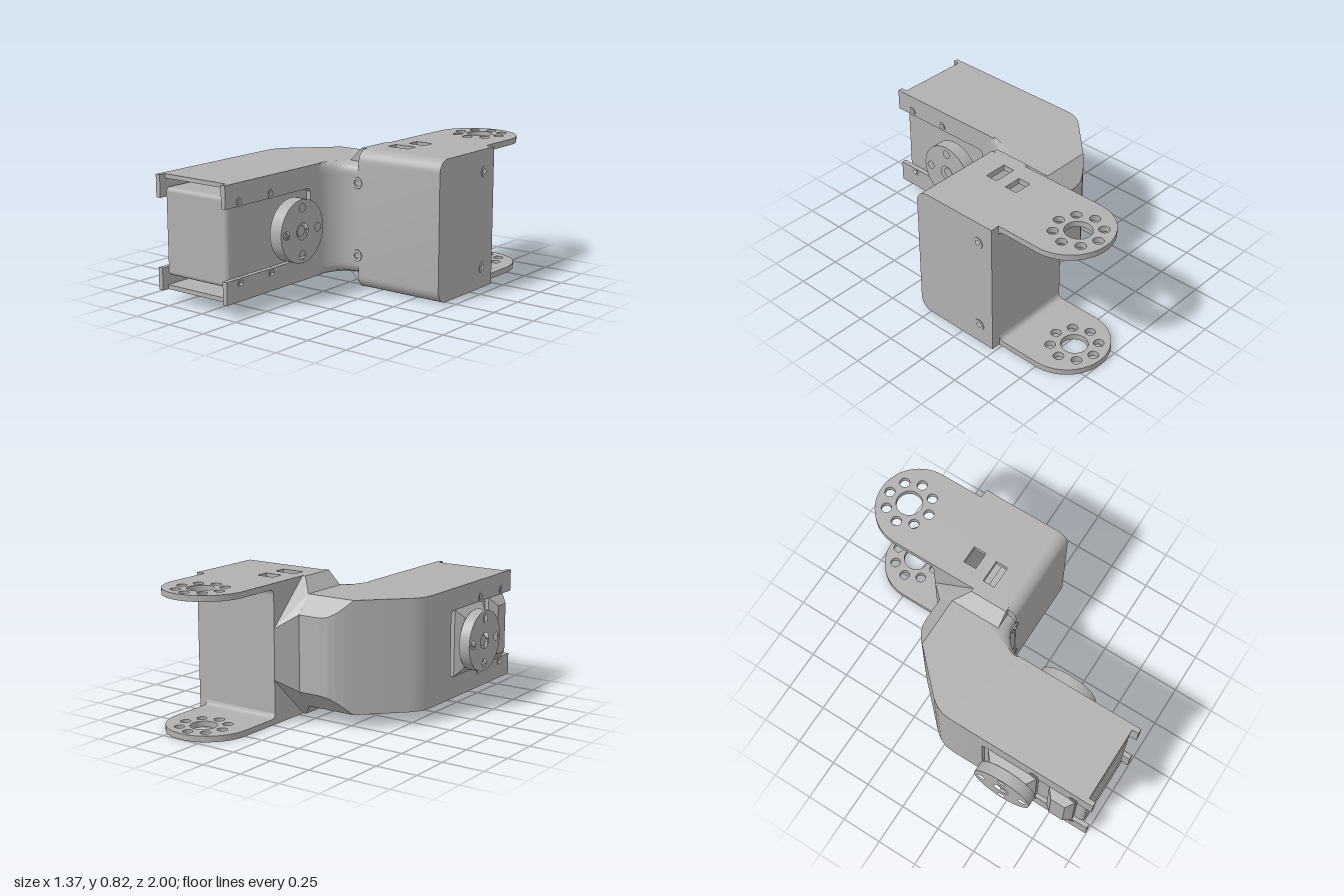
import * as THREE from 'three';
import { toCreasedNormals } from 'three/addons/utils/BufferGeometryUtils.js';
import { ConvexGeometry } from 'three/addons/geometries/ConvexGeometry.js';
import { RoundedBoxGeometry } from 'three/addons/geometries/RoundedBoxGeometry.js';

const MID = 0.41; // mirror height: upper and lower halves match

export function createModel() {
  const model = new THREE.Group();
  const grey = new THREE.MeshStandardMaterial({ color: 0xb0b0b0 });
  grey.name = 'plain grey';

  const add = (name, geo, x = 0, y = 0, z = 0) => {
    const mesh = new THREE.Mesh(geo, grey);
    mesh.name = name;
    mesh.position.set(x, y, z);
    model.add(mesh);
    return mesh;
  };
  const arc = (cx, cy, r, a0, a1, n = 10) => Array.from({ length: n + 1 }, (_, i) => {
    const a = a0 + (a1 - a0) * i / n;
    return [cx + r * Math.cos(a), cy + r * Math.sin(a)];
  });
  const circle = (cx, cy, r, n = 24) => arc(cx, cy, r, 0, Math.PI * 2, n).slice(0, n);
  const rect = (a0, a1, b0, b1) => [[a0, b0], [a1, b0], [a1, b1], [a0, b1]];
  const extrude = (pts, holes, depth, steps = 1) => {
    const v = (list) => list.map(([a, b]) => new THREE.Vector2(a, b));
    const shape = new THREE.Shape(v(pts));
    holes.forEach((h) => shape.holes.push(new THREE.Path(v(h))));
    return new THREE.ExtrudeGeometry(shape, { depth, steps, bevelEnabled: false });
  };
  const negFirst = (l) => l.map(([a, b]) => [-a, b]);
  const negSecond = (l) => l.map(([a, b]) => [a, -b]);
  // outline in x,z raised along y
  const slab = (pts, holes, y0, h, steps) => extrude(negSecond(pts), holes.map(negSecond), h, steps)
    .rotateX(-Math.PI / 2).translate(0, y0, 0);
  // outline in z,y extended along x
  const wall = (pts, holes, x0, w) => extrude(negFirst(pts), holes.map(negFirst), w)
    .rotateY(Math.PI / 2).translate(x0, 0, 0);
  const smooth = (g) => toCreasedNormals(g, 0.6);
  const hull = (pts) => new ConvexGeometry(pts.map((p) => new THREE.Vector3(...p)));
  const mirrored = (pts) => pts.flatMap(([x, y, z]) => [[x, y, z], [x, 2 * MID - y, z]]);

  // Solid elbow between the arm and the yoke block, with a rounded inner bend
  const elbow = slab([
    ...arc(0.12, 0.25, 0.18, Math.PI, Math.PI * 1.5, 12),
    [0.12, -0.29], [-0.29, -0.29], [-0.52, -0.06], [-0.55, -0.02], [-0.57, 0.03], [-0.575, 0.08], [-0.575, 0.25],
  ], [], 0.08, 0.66, 44);
  const pos = elbow.attributes.position;
  for (let i = 0; i < pos.count; i++) {
    const dx = pos.getX(i) - 0.12, dz = pos.getZ(i) - 0.25;
    if (Math.abs(Math.hypot(dx, dz) - 0.18) > 0.003) continue;
    const e = Math.min(1, Math.max(0, Math.abs(pos.getY(i) - MID) - 0.27) / 0.06);
    const k = 1 + 0.06 * (1 - Math.sqrt(1 - e * e)) * (-dz / 0.18) / 0.18;
    pos.setX(i, 0.12 + dx * k);
    pos.setZ(i, 0.25 + dz * k);
  }
  add('elbow', smooth(elbow));

  // Sloped back of the elbow
  const back = [[-0.29, -0.29], [-0.25, -0.327], [-0.21, -0.355], [-0.17, -0.373], [-0.12, -0.38], [0.02, -0.38], [0.02, -0.29]];
  add('elbowBack', hull(mirrored(back.map(([x, z]) => [x, 0.74 + (z + 0.29) * 1.17, z]))));

  // Flare that widens the elbow to the block
  add('flare', hull(mirrored([
    [0.02, 0.74, 0.02], [0.02, 0.74, -0.29], [0.02, 0.635, -0.38], [0.1, 0.82, 0.02],
    [0.1, 0.82, -0.21], [0.13, 0.82, 0.02], [0.13, 0.82, -0.21], [0.12, 0.56, -0.48],
  ])));

  // Arm channel: upper and lower plates
  for (const y of [0.08, 0.715]) {
    add('channelPlate', slab(rect(-0.575, -0.06, 0.2, 0.96), [], y, 0.025));
  }

  // Arm channel: side walls with an open slot, screw holes and their rims
  const screws = [0.63, 0.885].flatMap((z) => [[z, 0.635], [z, 0.185]]);
  const cheek = [[0.2, 0.08], [1, 0.08], [1, 0.21], [0.31, 0.21], [0.29, 0.23], [0.29, 0.59],
    [0.31, 0.61], [1, 0.61], [1, 0.74], [0.2, 0.74]];
  for (const [x, out] of [[-0.575, -0.003], [-0.09, 0.003]]) {
    add('channelWall', wall(cheek, screws.map(([z, y]) => circle(z, y, 0.016, 16)), x, 0.03));
    for (const [z, y] of screws) {
      add('screwRim', smooth(wall(circle(z, y, 0.028, 20), [circle(z, y, 0.016, 16)], x + out, 0.03)));
    }
  }

  // Motor housing inside the arm
  add('motorBody', new RoundedBoxGeometry(0.46, 0.505, 0.74, 3, 0.025), -0.32, 0.413, 0.59);
  const pad = (z0, z1, inset) => hull([
    ...[[z0, 0.21], [z1, 0.21], [z1, 0.61], [z0, 0.61]].map(([z, y]) => [-0.54, y, z]),
    ...[[z0, 0.21], [z1, 0.21], [z1, 0.61], [z0, 0.61]].map(([z, y]) => [-0.575, y, z]),
    ...[[z0 + inset, 0.26], [z1 - inset, 0.26], [z1 - inset, 0.56], [z0 + inset, 0.56]].map(([z, y]) => [-0.62, y, z]),
  ]);
  add('motorPad', pad(0.33, 0.65, 0.04));
  add('motorRib', pad(0.73, 0.9, 0.04));

  // Round drive horns on both sides of the arm
  const hz = 0.49;
  const hornHoles = [circle(hz, MID, 0.048), ...circle(hz, MID, 0.135, 4).map(([z, y]) => circle(z, y, 0.025, 18))];
  const axle = (name, r, x0, x1) => add(name, new THREE.CylinderGeometry(r, r, x1 - x0, 32).rotateZ(Math.PI / 2),
    (x0 + x1) / 2, MID, hz);
  add('driveHorn', smooth(wall(circle(hz, MID, 0.182, 64), hornHoles, -0.035, 0.08)));
  axle('driveShaft', 0.06, -0.1, -0.03);
  axle('driveScrew', 0.032, -0.04, 0.035);
  add('idlerHorn', smooth(wall(circle(hz, MID, 0.182, 64), hornHoles, -0.687, 0.067)));
  axle('idlerScrew', 0.032, -0.675, -0.6);

  // Yoke plates with a rounded, drilled end
  const plate = [[0.12, 0], [0.68, 0], [0.68, -0.48], [0.625, -0.48],
    ...arc(0.3725, -0.748, 0.2525, 0, -Math.PI, 32), [0.12, -0.48]];
  const bores = [circle(0.37, -0.81, 0.077, 36), ...circle(0.37, -0.81, 0.135, 8).map(([x, z]) => circle(x, z, 0.03, 20))];
  const slot = rect(0.19, 0.33, -0.19, -0.115);
  add('upperYoke', smooth(slab(plate, [...bores, slot, rect(0.23, 0.34, -0.345, -0.265)], 0.785, 0.035)));
  add('lowerYoke', smooth(slab(plate, [...bores, slot, rect(0.27, 0.38, -0.345, -0.265)], 0, 0.035)));

  // Yoke block walls: rounded front, back, sides and an inner shelf
  const q = Math.PI / 2;
  const front = [[0, 0], ...arc(0, 0.075, 0.075, -q, 0), ...arc(0, 0.745, 0.075, 0, q),
    ...arc(0, 0.745, 0.04, q, 0), ...arc(0, 0.075, 0.04, 0, -q)].slice(1);
  add('blockFront', smooth(wall(front, [], 0.12, 0.56)));
  add('blockBack', new THREE.BoxGeometry(0.56, 0.76, 0.03), 0.4, MID, -0.465);
  const side = [[-0.48, 0.03], [0, 0.03], ...arc(0, 0.075, 0.045, -q, 0), ...arc(0, 0.745, 0.045, 0, q), [-0.48, 0.79]];
  const sideScrews = [0.69, 0.12].map((y) => [-0.38, y]);
  add('blockInnerSide', wall(side, [], 0.12, 0.03));
  add('blockOuterSide', wall(side, sideScrews.map(([z, y]) => circle(z, y, 0.016, 16)), 0.65, 0.03));
  for (const [z, y] of sideScrews) {
    add('sideScrewRim', smooth(wall(circle(z, y, 0.035), [circle(z, y, 0.016, 16)], 0.654, 0.03)));
  }
  add('innerShelf', new THREE.BoxGeometry(0.5, 0.02, 0.22), 0.4, MID, -0.13);

  // Small fillets where the yoke plates meet the block
  const fillet = [[-0.47, 0.03], [-0.47, 0.065], ...arc(-0.51, 0.065, 0.03, 0, -q, 6), [-0.51, 0.03]];
  add('lowerFillet', smooth(wall(fillet, [], 0.12, 0.505)));
  add('upperFillet', smooth(wall(fillet.map(([z, y]) => [z, 0.82 - y]), [], 0.12, 0.505)));

  // Front screws beside the bend
  for (const y of [0.195, 0.625]) {
    add('frontScrewRim', smooth(extrude(circle(0.11, y, 0.035), [circle(0.11, y, 0.018, 18)], 0.03)), 0, 0, 0.05);
  }
  return model;
}
